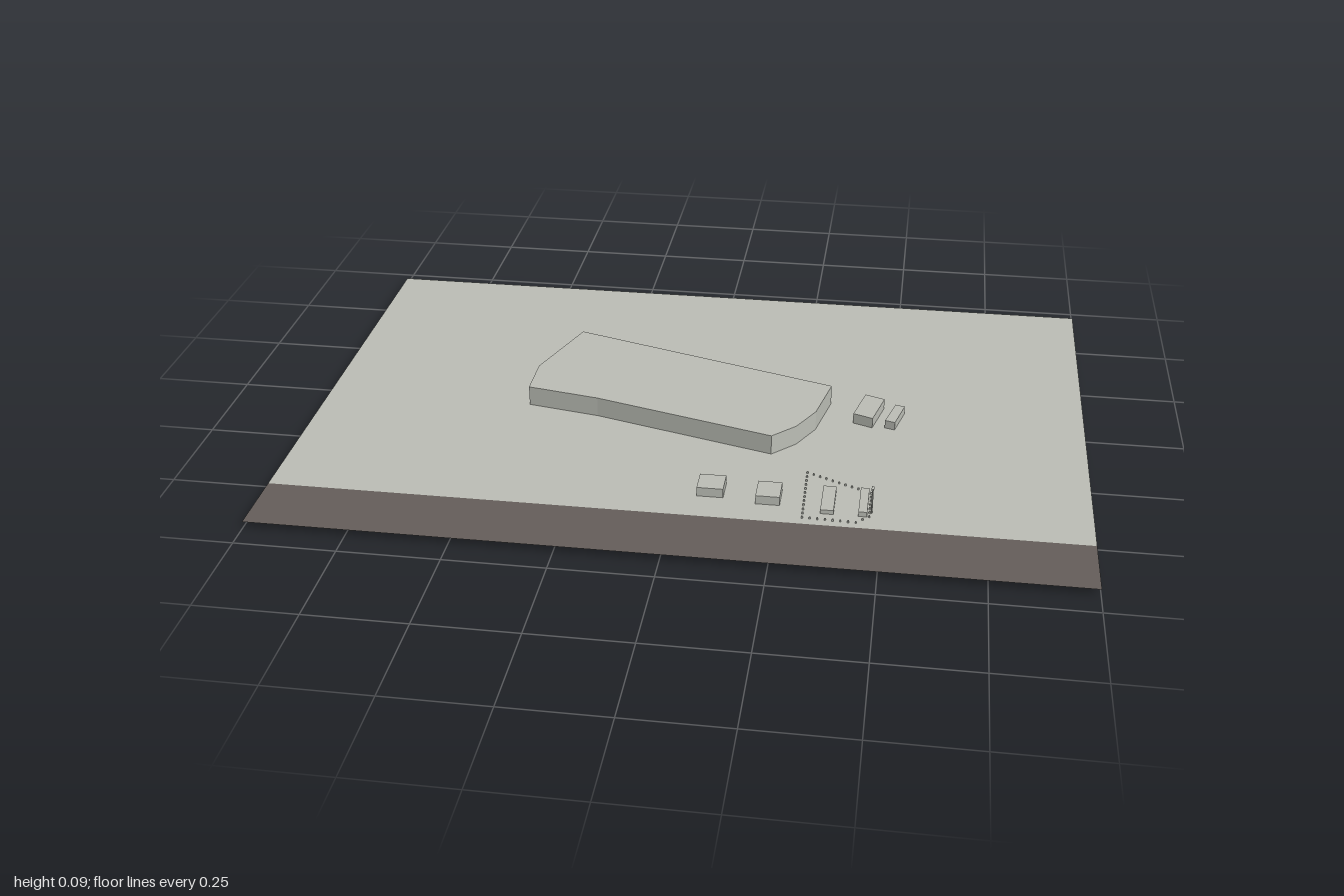
import * as THREE from 'three';

const GROUND = 0.017;

export function createModel() {
  const root = new THREE.Group();
  root.name = 'sitePlan';
  const paving = new THREE.MeshStandardMaterial({ color: 0xbcbeb6, side: THREE.DoubleSide });
  paving.name = 'pale grey';
  const asphalt = new THREE.MeshStandardMaterial({ color: 0x655e5a, side: THREE.DoubleSide });
  asphalt.name = 'dark road';

  const add = (name, geometry, material, parent = root) => {
    const mesh = new THREE.Mesh(geometry, material);
    mesh.name = name;
    parent.add(mesh);
    return mesh;
  };

  // Flat rectangle between two z values, full width
  const strip = (name, z0, z1, material) => {
    const g = new THREE.PlaneGeometry(2, z1 - z0).rotateX(-Math.PI / 2);
    add(name, g.translate(0, GROUND, (z0 + z1) / 2), material);
  };
  strip('ground', -0.69, 0.51, paving);
  strip('road', 0.51, 0.685, asphalt);

  // Upright block from an [x, z] footprint
  const block = (name, points, top, parent = root, bottom = GROUND) => {
    const shape = new THREE.Shape(points.map(([x, z]) => new THREE.Vector2(x, -z)));
    const g = new THREE.ExtrudeGeometry(shape, { depth: top - bottom, bevelEnabled: false });
    return add(name, g.rotateX(-Math.PI / 2).translate(0, bottom, 0), paving, parent);
  };
  const rect = (x0, x1, z0, z1) => [[x0, z0], [x0, z1], [x1, z1], [x1, z0]];

  // Main hall with chamfered end
  block('mainBuilding', [[-0.374, -0.307], [-0.452, -0.088], [-0.452, 0.032], [-0.262, 0.067],
    [0.209, 0.2], [0.267, 0.142], [0.31, 0.06], [0.34, -0.083]], 0.07);

  // Outbuildings
  block('frontShedLeft', rect(0.05, 0.115, 0.358, 0.422), 0.041);
  block('frontShedRight', rect(0.195, 0.254, 0.369, 0.438), 0.04);
  block('sideShedWide', [[0.43, -0.094], [0.404, 0.013], [0.455, 0.032], [0.481, -0.075]], 0.045);
  block('sideShedNarrow', [[0.511, -0.061], [0.487, 0.027], [0.513, 0.035], [0.535, -0.053]], 0.039);

  // Small yard with two low blocks, a kerb of tiny posts and a mast
  const yard = new THREE.Group();
  yard.name = 'yard';
  root.add(yard);
  block('yardBlockWide', rect(0.353, 0.385, 0.35, 0.46), 0.028, yard);
  block('yardBlockNarrow', rect(0.444, 0.465, 0.35, 0.46), 0.03, yard);

  const outline = [[0.308, 0.28], [0.47, 0.355], [0.47, 0.46], [0.44, 0.49], [0.312, 0.485]];
  const post = new THREE.BoxGeometry(0.004, 0.014, 0.004);
  outline.forEach(([x0, z0], i) => {
    const [x1, z1] = outline[(i + 1) % outline.length];
    const count = Math.max(2, Math.round(Math.hypot(x1 - x0, z1 - z0) / 0.018));
    for (let k = 0; k < count; k++) {
      const t = k / count;
      add('kerbPost', post, paving, yard)
        .position.set(x0 + (x1 - x0) * t, 0.015, z0 + (z1 - z0) * t);
    }
  });

  // Mast with footing reaching below the ground and a small head
  const mast = new THREE.Group();
  mast.name = 'mast';
  mast.position.set(0.475, 0, 0.44);
  yard.add(mast);
  add('mastPole', new THREE.CylinderGeometry(0.002, 0.002, 0.085, 8), paving, mast).position.y = 0.0425;
  add('mastHead', new THREE.BoxGeometry(0.006, 0.005, 0.014), paving, mast).position.y = 0.085;

  return root;
}
